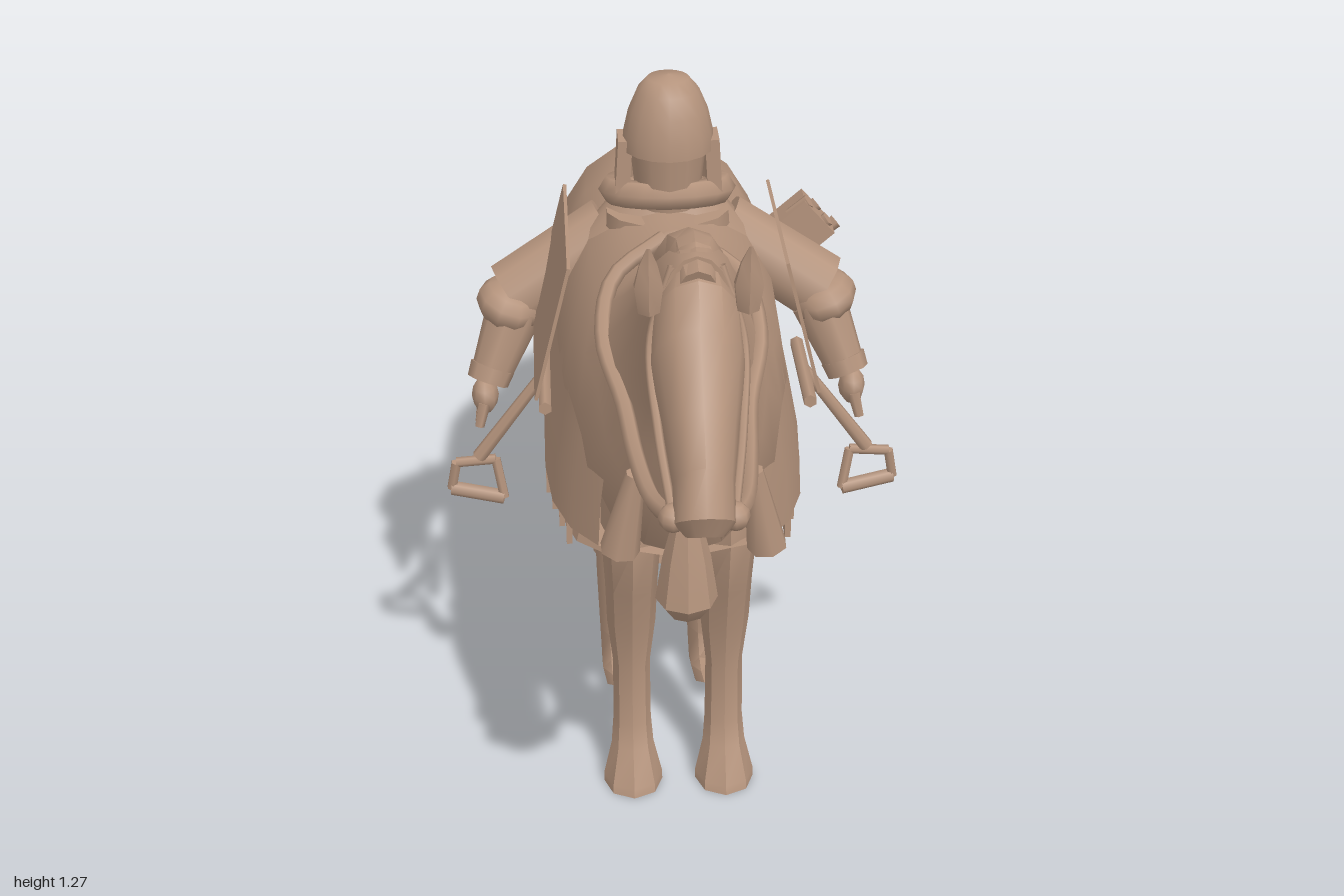
import * as THREE from 'three';
import { toCreasedNormals } from 'three/addons/utils/BufferGeometryUtils.js';

const clay = new THREE.MeshStandardMaterial({ color: 0xb4937c, side: THREE.DoubleSide });
clay.name = 'clay brown';

const V = (x, y, z) => new THREE.Vector3(x, y, z);

// Closed skin over rings; each ring is [zA, yA, zB, yB, halfWidth, x]
function loft(rings, x0 = 0, n = 12, crease = 0.7) {
  const pos = [], idx = [];
  for (const [za, ya, zb, yb, w, x = x0] of rings) {
    for (let i = 0; i < n; i++) {
      const a = (i / n) * Math.PI * 2, c = Math.cos(a) / 2;
      pos.push(x + Math.sin(a) * w, (ya + yb) / 2 + c * (ya - yb), (za + zb) / 2 + c * (za - zb));
    }
  }
  for (let r = 0; r < rings.length - 1; r++) {
    for (let i = 0; i < n; i++) {
      const a = r * n + i, b = r * n + (i + 1) % n;
      idx.push(a, a + n, b, b, a + n, b + n);
    }
  }
  const end = (rings.length - 1) * n;
  for (let i = 1; i < n - 1; i++) idx.push(0, i, i + 1, end, end + i + 1, end + i);
  const g = new THREE.BufferGeometry();
  g.setAttribute('position', new THREE.Float32BufferAttribute(pos, 3));
  g.setIndex(idx);
  return toCreasedNormals(g, crease);
}

// Tapered rod between two points
function rod(a, b, ra, rb = ra, n = 8) {
  const d = b.clone().sub(a);
  const g = new THREE.CylinderGeometry(rb, ra, d.length(), n);
  g.applyQuaternion(new THREE.Quaternion().setFromUnitVectors(V(0, 1, 0), d.normalize()));
  const m = a.clone().add(b).multiplyScalar(0.5);
  return g.translate(m.x, m.y, m.z);
}

const tube = (pts, r, n = 24) => new THREE.TubeGeometry(new THREE.CatmullRomCurve3(pts), n, r, 6);

export function createModel() {
  const model = new THREE.Group();
  const add = (name, geo) => {
    const m = new THREE.Mesh(geo, clay);
    m.name = name;
    model.add(m);
    return m;
  };

  // Horse body, neck and head
  add('horseBody', loft([
    [-0.45, 0.87, -0.46, 0.69, 0.08], [-0.40, 0.94, -0.44, 0.61, 0.145],
    [-0.30, 0.98, -0.35, 0.55, 0.19], [-0.15, 1.0, -0.15, 0.55, 0.2],
    [0.1, 0.99, 0.1, 0.52, 0.2], [0.27, 1.01, 0.29, 0.52, 0.192],
    [0.33, 1.02, 0.48, 0.54, 0.17], [0.37, 1.04, 0.56, 0.66, 0.138],
    [0.42, 1.07, 0.6, 0.78, 0.105], [0.5, 1.115, 0.645, 0.88, 0.085],
    [0.6, 1.175, 0.69, 0.97, 0.078], [0.7, 1.225, 0.73, 1.03, 0.07], [0.77, 1.23, 0.77, 1.06, 0.052]], 0, 16));
  add('horseHead', loft([
    [0.73, 1.235, 0.68, 1.08, 0.045], [0.8, 1.205, 0.71, 1.02, 0.068],
    [0.84, 1.15, 0.76, 0.985, 0.07], [0.92, 1.06, 0.83, 0.95, 0.055],
    [0.97, 0.995, 0.89, 0.895, 0.045], [1.0, 0.93, 0.925, 0.87, 0.045], [0.985, 0.89, 0.95, 0.87, 0.028]]));
  add('mane', loft([
    [0.29, 1.035, 0.33, 0.95, 0.05], [0.42, 1.1, 0.46, 0.98, 0.055], [0.58, 1.19, 0.61, 1.08, 0.055],
    [0.7, 1.238, 0.71, 1.12, 0.045], [0.8, 1.22, 0.77, 1.14, 0.03]], 0, 10));

  // Tail with ragged end strands
  add('tail', loft([
    [-0.33, 0.96, -0.42, 0.86, 0.045], [-0.48, 0.935, -0.46, 0.84, 0.055], [-0.61, 0.865, -0.54, 0.76, 0.062],
    [-0.73, 0.745, -0.65, 0.65, 0.062], [-0.85, 0.615, -0.77, 0.525, 0.06], [-0.97, 0.47, -0.89, 0.395, 0.05]], 0, 8, 0.4));
  for (let i = 0; i < 5; i++) {
    const x = (i - 2) * 0.02, k = (i % 2) * 0.04;
    add('tailStrand', rod(V(x, 0.6 - k, -0.82 + k), V(x, 0.4 - k / 2, -0.98 + k), 0.03, 0.017, 5));
  }

  for (const s of [1, -1]) {
    // Horse legs
    add('frontLeg', loft([
      [0.45, 0.62, 0.29, 0.62, 0.05], [0.465, 0.54, 0.305, 0.53, 0.053], [0.43, 0.42, 0.315, 0.42, 0.046],
      [0.405, 0.33, 0.315, 0.33, 0.043], [0.39, 0.24, 0.32, 0.24, 0.033], [0.395, 0.12, 0.325, 0.12, 0.034],
      [0.41, 0.075, 0.335, 0.07, 0.038], [0.445, 0.015, 0.335, 0.015, 0.053], [0.45, 0, 0.335, 0, 0.053]], s * 0.083, 8));
    add('hindLeg', loft([
      [-0.14, 0.68, -0.46, 0.75, 0.085, s * 0.1], [-0.18, 0.55, -0.41, 0.6, 0.075, s * 0.1],
      [-0.29, 0.45, -0.40, 0.52, 0.055, s * 0.095], [-0.385, 0.36, -0.495, 0.4, 0.042],
      [-0.415, 0.28, -0.49, 0.28, 0.034], [-0.405, 0.17, -0.475, 0.16, 0.034],
      [-0.385, 0.1, -0.455, 0.09, 0.038], [-0.335, 0.02, -0.445, 0.015, 0.05], [-0.33, 0, -0.445, 0, 0.05]], s * 0.083, 8));

    // Ears
    const ear = add('ear', loft([
      [0.82, 1.16, 0.77, 1.16, 0.018], [0.825, 1.205, 0.785, 1.2, 0.024], [0.82, 1.24, 0.8, 1.235, 0.015],
      [0.822, 1.268, 0.818, 1.266, 0.003]], s * 0.06, 6, 0.4));
    ear.rotation.z = -s * 0.01;

    // Bridle straps, reins and hanging tassels
    add('rein', tube([V(s * 0.045, 0.9, 0.95), V(s * 0.07, 0.875, 0.85), V(s * 0.088, 0.865, 0.7),
      V(s * 0.1, 0.88, 0.57), V(s * 0.128, 0.93, 0.43), V(s * 0.105, 0.99, 0.33), V(s * 0.02, 1.035, 0.28)], 0.014));
    add('cheekStrap', tube([V(s * 0.045, 0.9, 0.94), V(s * 0.062, 1.0, 0.86), V(s * 0.068, 1.1, 0.78), V(s * 0.035, 1.21, 0.76)], 0.007));
    const bit = add('bitRing', new THREE.SphereGeometry(0.022, 8, 6));
    bit.position.set(s * 0.045, 0.9, 0.945);
    add('reinTassel', rod(V(s * 0.09, 0.86, 0.75), V(s * 0.115, 0.715, 0.735), 0.015, 0.032, 7));

    // Flared saddle cloth skirt closing under the belly, with a toothed hem
    const drop = [[0.185, 0.82], [0.203, 0.73], [0.222, 0.63], [0.228, 0.555], [0, 0.525]];
    const stations = [[-0.19, 0.85], [-0.13, 0.97], [0, 1], [0.2, 1], [0.32, 0.95], [0.41, 0.82], [0.47, 0.62]];
    const rows = drop.length, pos = [], idx = [];
    stations.forEach(([z, k], r) => drop.forEach(([x, y], i) => {
      pos.push(s * x * k, y, z);
      const a = r * rows + i, b = a + rows;
      if (r < stations.length - 1 && i < rows - 1) idx.push(a, b, a + 1, a + 1, b, b + 1);
    }));
    const cloth = new THREE.BufferGeometry();
    cloth.setAttribute('position', new THREE.Float32BufferAttribute(pos, 3));
    cloth.setIndex(idx);
    add('saddleCloth', toCreasedNormals(cloth, 0.5));
    for (let i = 0; i < 9; i++) {
      const z = -0.1 + i * 0.058;
      const tooth = add('hemTooth', new THREE.BoxGeometry(0.01, 0.06, 0.036));
      tooth.position.set(s * (0.222 - Math.max(0, z - 0.2) * 0.2), 0.535, z);
    }

    // Stiff saddle flap and stirrup
    const flap = add('saddleFlap', new THREE.BoxGeometry(0.006, 0.25, 0.35));
    flap.position.set(s * 0.21, 0.893, 0.175);
    flap.rotation.z = s * 0.24;
    add('strapBar', rod(V(s * 0.225, 0.755, 0.13), V(s * 0.225, 0.755, 0.35), 0.012, 0.012, 6));
    add('stirrupStrap', rod(V(s * 0.225, 0.755, 0.22), V(s * 0.345, 0.59, 0.22), 0.01, 0.013, 6));
    const loop = [V(s * 0.315, 0.585, 0.22), V(s * 0.385, 0.58, 0.22), V(s * 0.395, 0.525, 0.215), V(s * 0.302, 0.512, 0.23)];
    loop.forEach((p, i) => add('stirrup', rod(p, loop[(i + 1) % 4], i === 2 ? 0.013 : 0.009, i === 2 ? 0.013 : 0.009, 6)));

    // Rider arm: shoulder, puffed cuff, forearm, hand and fingers
    add('upperArm', rod(V(s * 0.1, 0.92, -0.02), V(s * 0.28, 0.805, 0.01), 0.062, 0.066, 10));
    const cuff = add('sleeveCuff', new THREE.SphereGeometry(0.074, 10, 7));
    cuff.scale.set(0.82, 0.58, 1);
    cuff.position.set(s * 0.285, 0.795, 0.025);
    cuff.rotation.z = s * 0.35;
    add('forearm', rod(V(s * 0.275, 0.79, 0.035), V(s * 0.325, 0.67, 0.075), 0.052, 0.036, 8));
    add('wristBand', rod(V(s * 0.318, 0.69, 0.068), V(s * 0.328, 0.665, 0.078), 0.041, 0.038, 8));
    const hand = add('hand', new THREE.SphereGeometry(0.035, 8, 6));
    hand.scale.set(0.7, 1, 1);
    hand.position.set(s * 0.333, 0.645, 0.09);
    for (let i = 0; i < 3; i++) {
      add('finger', rod(V(s * 0.335, 0.64, 0.075 + i * 0.02), V(s * 0.345, 0.598, 0.085 + i * 0.02), 0.012, 0.009, 5));
    }

    // Rider leg with boot
    add('riderLeg', loft([
      [0.11, 0.5, -0.03, 0.5, 0.06], [0.11, 0.35, -0.025, 0.35, 0.056], [0.1, 0.22, -0.025, 0.22, 0.053],
      [0.09, 0.1, -0.025, 0.1, 0.048], [0.12, 0.065, -0.025, 0.04, 0.046], [0.165, 0.065, -0.02, 0.0, 0.045],
      [0.188, 0.06, 0.08, 0, 0.038]], s * 0.085, 10));

    // Helmet cheek guard
    const guard = add('cheekGuard', new THREE.BoxGeometry(0.025, 0.1, 0.06));
    guard.position.set(s * 0.078, 1.075, 0.05);
    guard.rotation.z = s * 0.06;
  }

  // Rider torso, collar, head and helmet
  const torso = add('riderTorso', new THREE.CylinderGeometry(0.11, 0.14, 0.42, 14));
  torso.scale.z = 0.8;
  torso.position.set(0, 0.77, 0.03);
  const mantle = add('shoulderMantle', new THREE.CylinderGeometry(0.08, 0.18, 0.13, 14));
  mantle.scale.z = 0.6;
  mantle.position.set(0, 0.955, 0.01);
  const collar = add('collar', new THREE.TorusGeometry(0.09, 0.026, 6, 16));
  collar.rotation.x = Math.PI / 2 - 0.2;
  collar.scale.set(1.05, 0.8, 1);
  collar.position.set(0, 1.015, 0.025);
  add('riderFace', rod(V(0, 1.0, 0.05), V(0, 1.12, 0.05), 0.055, 0.068, 12));
  const dome = [[0.079, 0], [0.078, 0.03], [0.069, 0.07], [0.054, 0.105], [0.036, 0.126], [0, 0.132]];
  const helmet = add('helmet', new THREE.LatheGeometry(dome.map(p => new THREE.Vector2(...p)), 16));
  helmet.position.set(0, 1.105, 0.05);
  const neckGuard = add('neckGuard', new THREE.CylinderGeometry(0.074, 0.085, 0.085, 10, 1, true, Math.PI / 2, Math.PI));
  neckGuard.position.set(0, 1.065, 0.05);

  // Pleated skirt
  const skirtGeo = new THREE.CylinderGeometry(0.14, 0.19, 0.2, 12, 1, true);
  const skirt = add('riderSkirt', toCreasedNormals(skirtGeo, 0.2));
  skirt.scale.set(1.06, 1, 0.95);
  skirt.position.set(0, 0.47, 0.07);
  for (const s of [1, -1]) {
    add('skirtFold', rod(V(s * 0.145, 0.56, 0.06), V(s * 0.19, 0.375, 0.06), 0.014, 0.018, 5));
  }

  // Saddle pommel over the withers
  const pommel = add('pommel', new THREE.TorusGeometry(0.055, 0.014, 6, 12, Math.PI));
  pommel.position.set(0, 0.98, 0.28);

  // Chest tassel
  const tassel = [[0, 0], [0.03, 0.02], [0.052, 0.05], [0.04, 0.13], [0.018, 0.22], [0, 0.23]];
  const chest = add('chestTassel', toCreasedNormals(
    new THREE.LatheGeometry(tassel.map(p => new THREE.Vector2(...p)), 8), 0.5));
  chest.position.set(0, 0.47, 0.58);

  // Quiver with arrow ends on the left side
  const quiver = add('quiver', new THREE.BoxGeometry(0.085, 0.1, 0.06));
  quiver.position.set(0.245, 0.885, -0.075);
  quiver.rotation.z = -0.85;
  for (let i = 0; i < 4; i++) {
    const o = (i - 1.5) * 0.018;
    add('arrowEnd', rod(V(0.255 - o, 0.89 + o, -0.085 + (i % 2) * 0.02),
      V(0.29 - o, 0.918 + o, -0.09 + (i % 2) * 0.03), 0.011, 0.014, 5));
  }
  return model;
}
